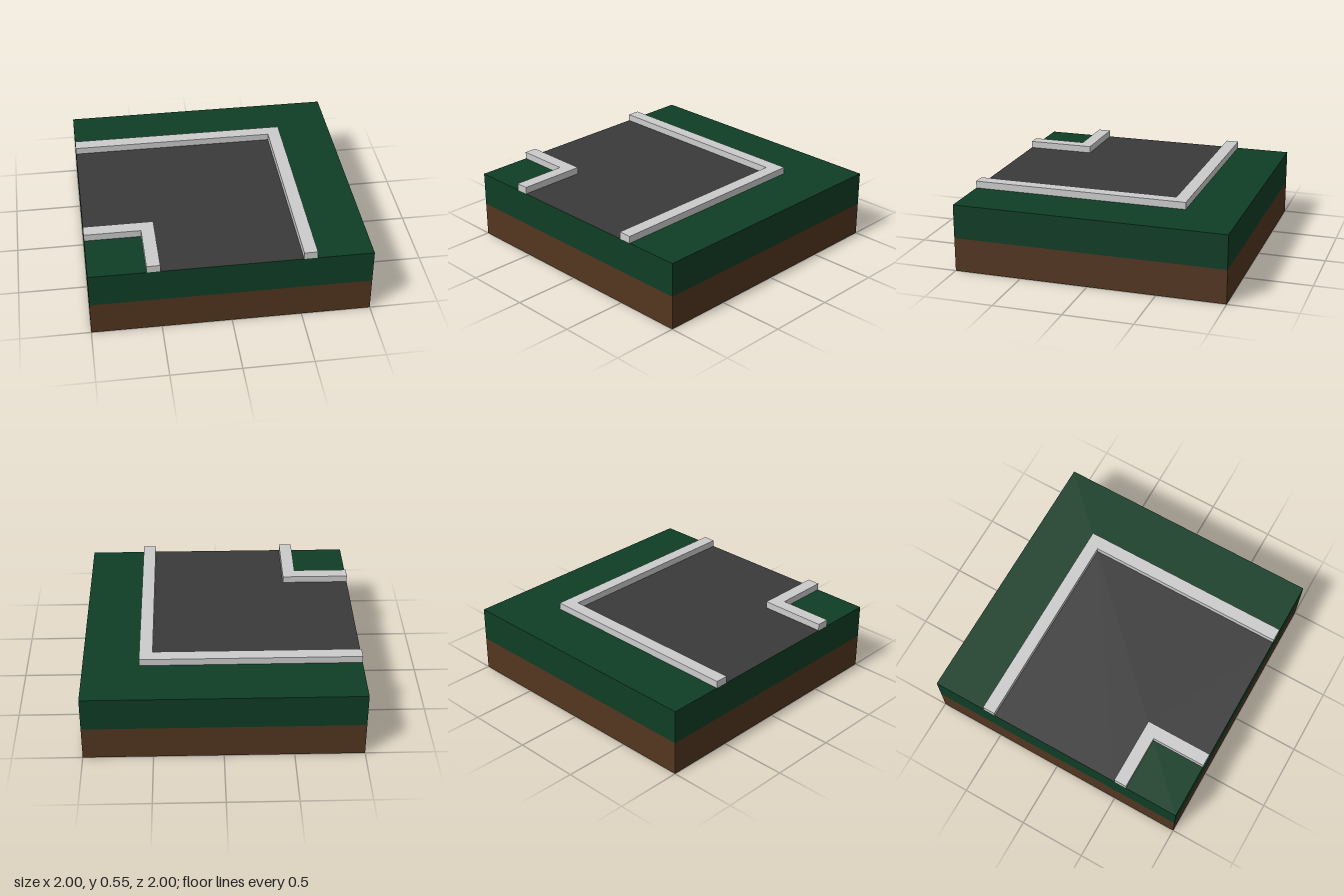
import * as THREE from 'three';

const material = (color) => new THREE.MeshStandardMaterial({ color });

// Flat outline given as [x, z] corners
function outline(points) {
  return new THREE.Shape(points.map(([x, z]) => new THREE.Vector2(x, -z)));
}

function addMesh(group, name, geometry, mat, y) {
  const mesh = new THREE.Mesh(geometry, mat);
  mesh.name = name;
  mesh.position.y = y;
  group.add(mesh);
}

export function createModel() {
  const group = new THREE.Group();
  group.name = 'roadCornerTile';

  const top = 0.5;
  const inner = 0.5; // road edge
  const outer = 0.595; // far edge of the kerb
  const kerbHeight = 0.052;

  // Ground layers
  const layer = new THREE.BoxGeometry(2, 0.25, 2);
  addMesh(group, 'soil', layer, material(0x523620), 0.125);
  addMesh(group, 'grass', layer, material(0x0f3d25), 0.375);

  // Road surface turning from the front edge to the right edge
  const road = new THREE.ShapeGeometry(outline([
    [-1, inner], [-inner, inner], [-inner, 1], [inner, 1], [inner, -inner], [-1, -inner],
  ])).rotateX(-Math.PI / 2);
  addMesh(group, 'road', road, material(0x3a3a3a), top + 0.001);

  // L-shaped kerbs on both sides of the turn
  const kerbs = {
    outerKerb: [[-1, -inner], [inner, -inner], [inner, 1], [outer, 1], [outer, -outer], [-1, -outer]],
    innerKerb: [[-1, outer], [-outer, outer], [-outer, 1], [-inner, 1], [-inner, inner], [-1, inner]],
  };
  const kerbMaterial = material(0xc0c0c0);
  for (const [name, points] of Object.entries(kerbs)) {
    const kerb = new THREE.ExtrudeGeometry(outline(points), { depth: kerbHeight, bevelEnabled: false })
      .rotateX(-Math.PI / 2);
    addMesh(group, name, kerb, kerbMaterial, top);
  }

  return group;
}
